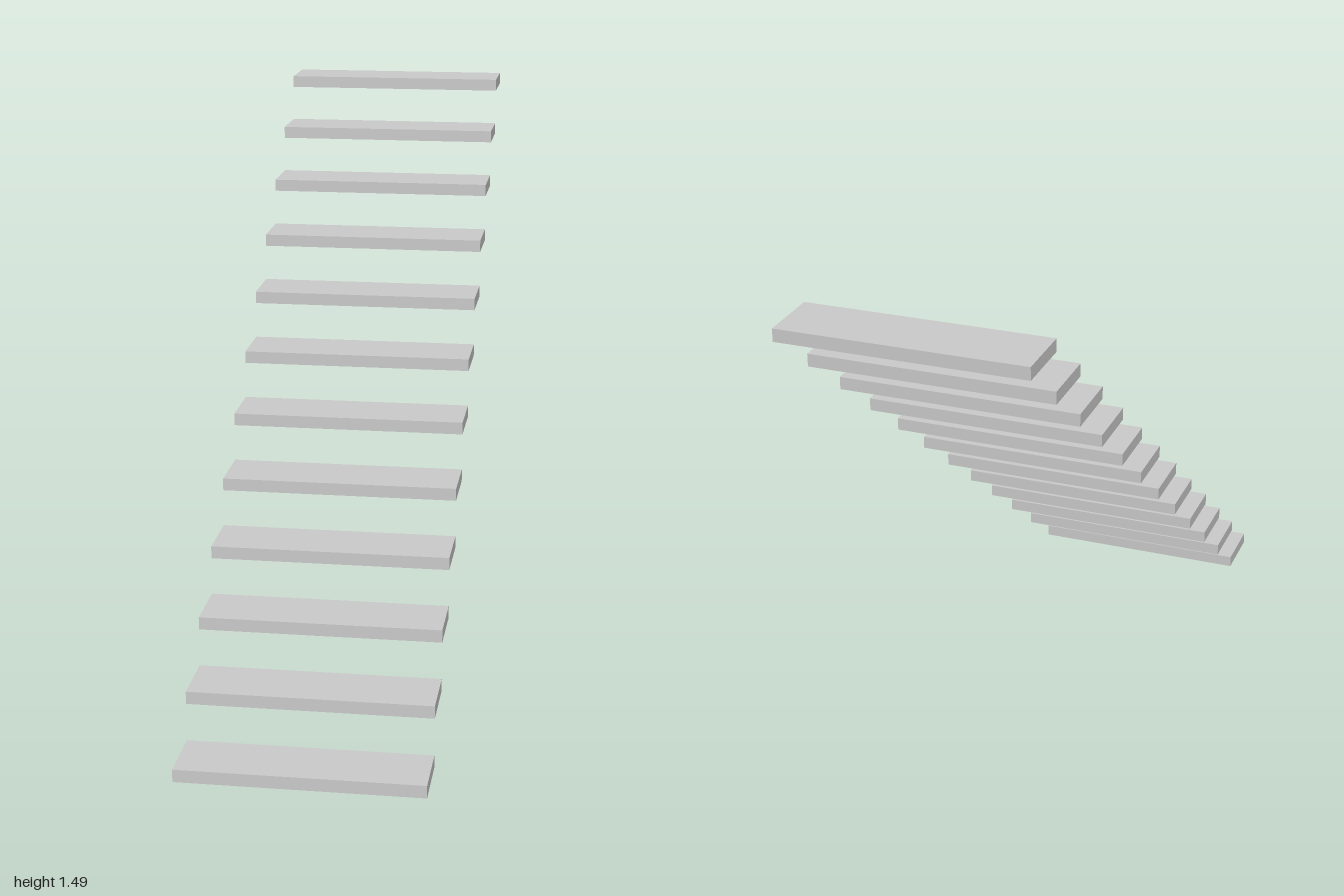
import * as THREE from 'three';

// Straight flight of floating treads, rising from front (+z) to back (-z)
export function createModel() {
  const stepCount = 12;
  const width = 0.625;
  const thickness = 0.033;
  const depth = 2 / stepCount;
  const rise = 0.132;

  const lightGrey = new THREE.MeshStandardMaterial({ color: 0xcccccc });
  lightGrey.name = 'lightGrey';

  const stairs = new THREE.Group();
  stairs.name = 'floatingStairs';

  // Each tread begins exactly where the one below it ends
  const treadGeometry = new THREE.BoxGeometry(width, thickness, depth);
  for (let i = 0; i < stepCount; i++) {
    const tread = new THREE.Mesh(treadGeometry, lightGrey);
    tread.name = `tread${i + 1}`;
    tread.position.set(0, thickness / 2 + i * rise, 1 - depth * (i + 0.5));
    stairs.add(tread);
  }
  return stairs;
}
